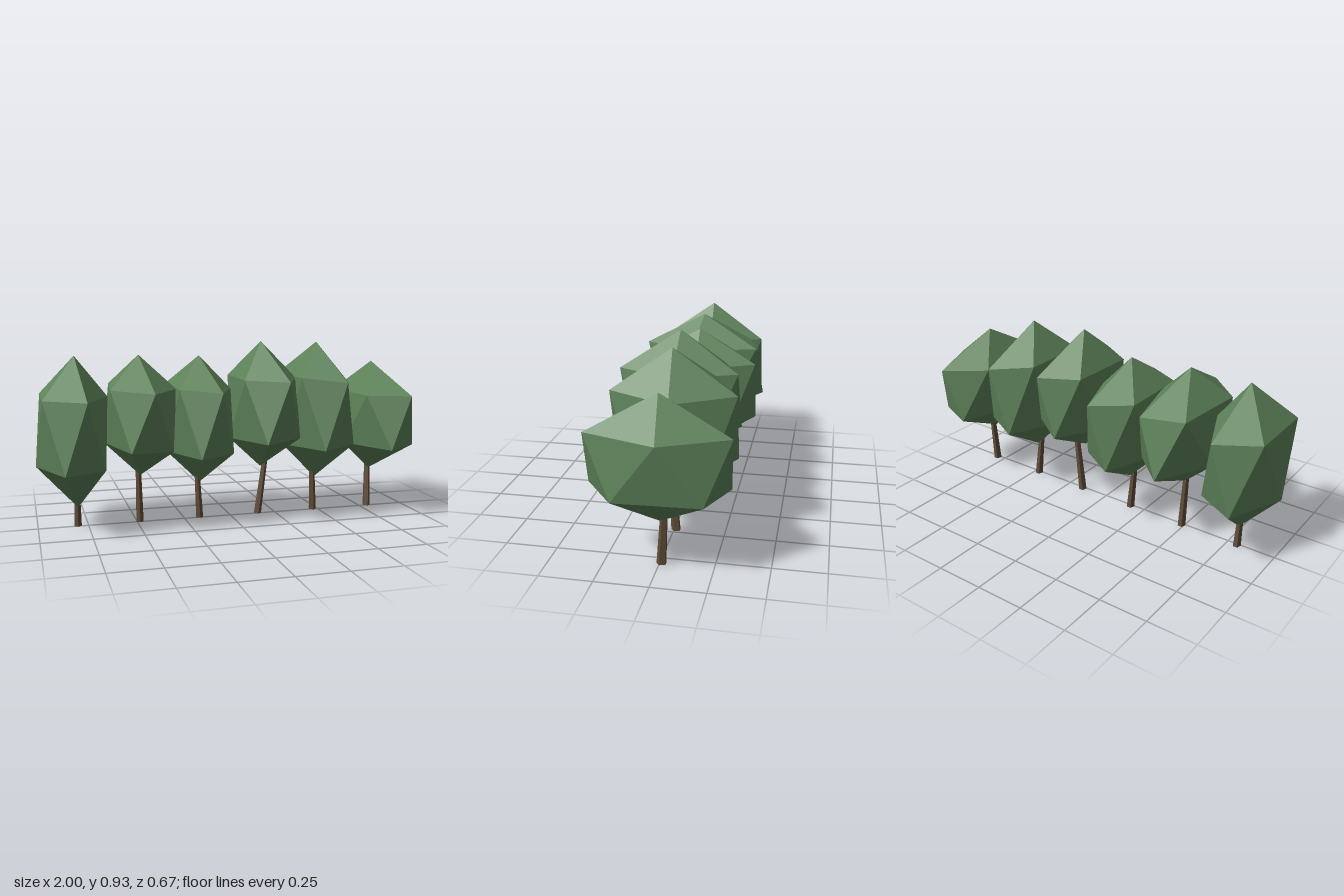
import * as THREE from 'three';

const leafMat = new THREE.MeshStandardMaterial({ color: 0x5d8259, flatShading: true });
const barkMat = new THREE.MeshStandardMaterial({ color: 0x5f4c39, flatShading: true });

// One entry per tree: apex and bottom tip heights, ring heights with their slope along x,
// ring centre and radii, yaw, and trunk lean per unit height.
const trees = [
  { x: -0.8, top: 0.865, bottom: 0.1, up: 0.663, low: 0.32, upS: -0.02, lowS: 0, cx: -0.82, cz: 0.01, rx: 0.18, rz: 0.31, yaw: 0, apexZ: 0.01, lean: [0.0, 0.1] },
  { x: -0.483, top: 0.865, bottom: 0.25, up: 0.698, low: 0.41, upS: -0.03, lowS: -0.04, cx: -0.48, cz: 0.005, rx: 0.182, rz: 0.335, yaw: 0.17, apexZ: 0.015, lean: [-0.02, 0.05] },
  { x: -0.165, top: 0.855, bottom: 0.19, up: 0.69, low: 0.365, upS: -0.06, lowS: 0.02, cx: -0.167, cz: -0.015, rx: 0.172, rz: 0.317, yaw: 0, apexZ: -0.015, lean: [-0.06, 0.05] },
  { x: 0.157, top: 0.925, bottom: 0.265, up: 0.735, low: 0.43, upS: -0.02, lowS: 0.06, cx: 0.172, cz: 0.02, rx: 0.178, rz: 0.312, yaw: 0.05, apexZ: 0.025, lean: [0.13, 0.02] },
  { x: 0.475, top: 0.918, bottom: 0.185, up: 0.727, low: 0.378, upS: -0.1, lowS: 0.04, cx: 0.478, cz: -0.01, rx: 0.185, rz: 0.312, yaw: -0.02, apexZ: 0, lean: [-0.06, 0.08] },
  { x: 0.8, top: 0.81, bottom: 0.215, up: 0.645, low: 0.368, upS: 0, lowS: 0, cx: 0.817, cz: -0.005, rx: 0.183, rz: 0.338, yaw: -0.08, apexZ: -0.005, lean: [0.02, -0.06] },
];

// Twenty-sided crown: two staggered rings of five between an apex and a bottom tip
function crownGeometry(t) {
  const pts = [t.x, t.top, t.apexZ, t.x, t.bottom, t.apexZ];
  for (const [y, slope, offset] of [[t.up, t.upS, 0], [t.low, t.lowS, Math.PI / 5]]) {
    for (let i = 0; i < 5; i++) {
      const a = (i * Math.PI * 2) / 5 + offset + t.yaw;
      const dx = Math.cos(a) * t.rx;
      pts.push(t.cx + dx, y + slope * dx, t.cz + Math.sin(a) * t.rz);
    }
  }
  const index = [];
  for (let i = 0; i < 5; i++) {
    const j = (i + 1) % 5;
    const u = 2 + i, u2 = 2 + j, l = 7 + i, l2 = 7 + j;
    index.push(0, u2, u, u, u2, l, l, u2, l2, 1, l, l2);
  }
  const indexed = new THREE.BufferGeometry();
  indexed.setAttribute('position', new THREE.Float32BufferAttribute(pts, 3));
  indexed.setIndex(index);
  const geo = indexed.toNonIndexed();
  geo.computeVertexNormals();
  return geo;
}

// Slim tapered trunk, sheared so the base stays flat on the ground
function trunkGeometry(t) {
  const h = t.bottom + 0.12;
  const geo = new THREE.CylinderGeometry(0.013, 0.02, h, 5);
  geo.scale(1, 1, 1.2);
  geo.translate(0, h / 2, 0);
  const p = geo.attributes.position;
  for (let i = 0; i < p.count; i++) {
    const y = p.getY(i);
    p.setXYZ(i, p.getX(i) + t.x - 0.003 + t.lean[0] * y, y, p.getZ(i) - 0.01 + t.lean[1] * y);
  }
  geo.computeVertexNormals();
  return geo;
}

export function createModel() {
  const model = new THREE.Group();
  model.name = 'treeRow';
  trees.forEach((t, i) => {
    const tree = new THREE.Group();
    tree.name = `tree${i + 1}`;
    const crown = new THREE.Mesh(crownGeometry(t), leafMat);
    crown.name = 'crown';
    const trunk = new THREE.Mesh(trunkGeometry(t), barkMat);
    trunk.name = 'trunk';
    tree.add(crown, trunk);
    model.add(tree);
  });
  return model;
}
